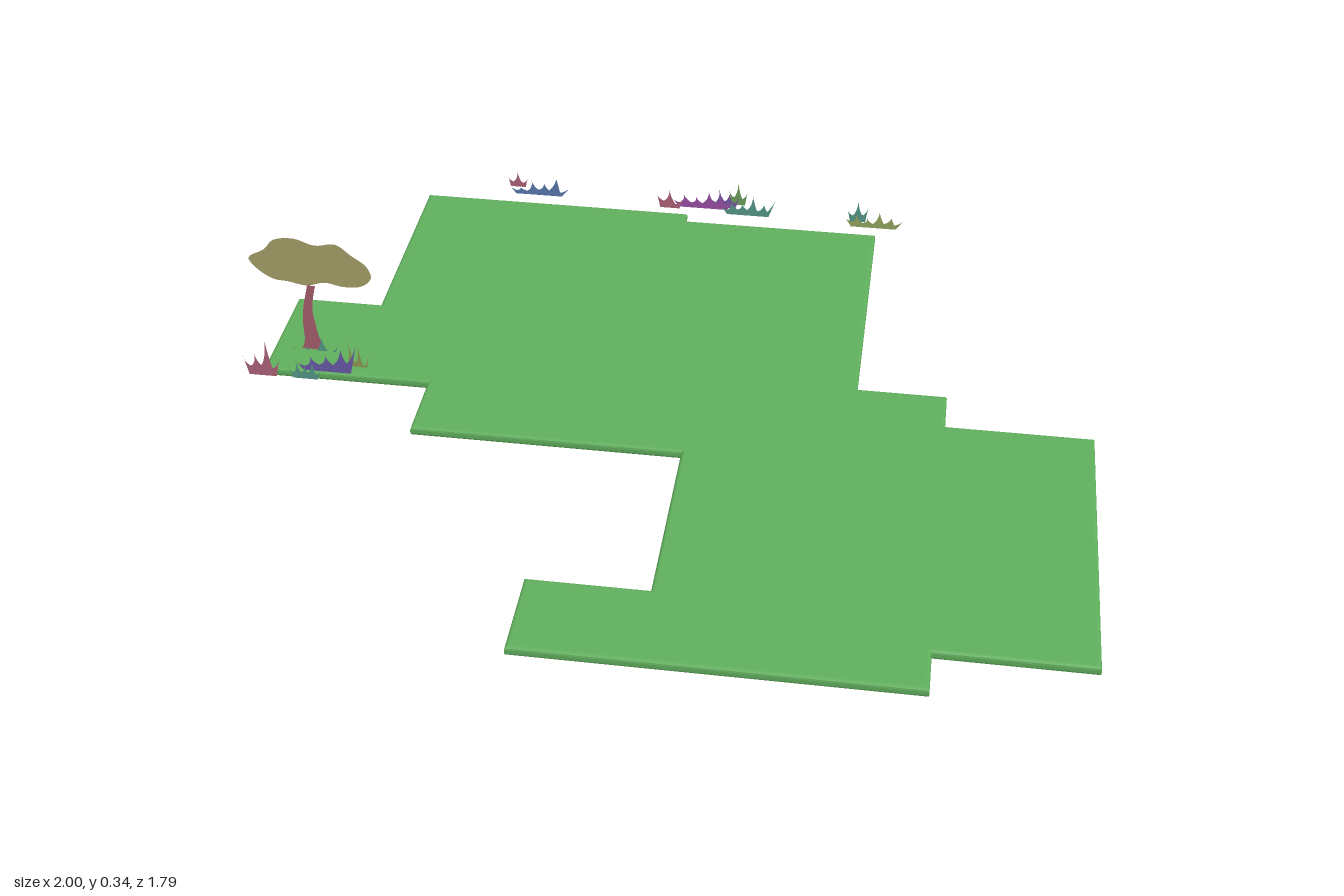
import * as THREE from 'three';

const material = (color, side = THREE.FrontSide) => new THREE.MeshStandardMaterial({ color, side });

// Flat upright cutout standing at depth z
function cutout(name, shape, z, color) {
  const mesh = new THREE.Mesh(new THREE.ShapeGeometry(shape, 10), material(color, THREE.DoubleSide));
  mesh.name = name;
  mesh.position.z = z;
  return mesh;
}

// Tuft of pointed blades: heights are fractions of the tallest blade
function tuftShape(x0, x1, base, top, heights) {
  const w = x1 - x0, h = top - base, n = heights.length;
  const s = new THREE.Shape();
  s.moveTo(x0 + w * 0.14, base);
  heights.forEach((f, i) => {
    const t = n > 1 ? i / (n - 1) : 0.5;
    const tipX = x0 + w * t, tipY = base + h * f;
    s.quadraticCurveTo(x0 + w * (0.08 + 0.84 * t), base + h * f * 0.5, tipX, tipY);
    if (i < n - 1) {
      const u = (i + 0.5) / (n - 1);
      const notch = base + h * 0.45 * Math.min(f, heights[i + 1]);
      s.quadraticCurveTo(tipX + w * 0.03, base + h * f * 0.6, x0 + w * (0.06 + 0.88 * u), notch);
    }
  });
  s.lineTo(x1 - w * 0.12, base);
  s.closePath();
  return s;
}

export function createModel() {
  const model = new THREE.Group();
  model.name = 'meadow';

  // Stepped grass platform with softly rounded rim, outline as x, z
  const outline = [
    [-0.75, -0.8], [-0.05, -0.8], [-0.05, -0.765], [0.45, -0.765], [0.45, -0.085],
    [0.66, -0.085], [0.66, 0.03], [1, 0.03], [1, 0.785], [0.66, 0.785],
    [0.66, 0.895], [-0.2, 0.895], [-0.2, 0.68], [0.07, 0.68], [0.07, 0.21],
    [-0.56, 0.21], [-0.56, 0.03], [-0.96, 0.03], [-0.96, -0.27], [-0.75, -0.27],
  ];
  const bevel = 0.008;
  const ground = new THREE.ExtrudeGeometry(
    new THREE.Shape(outline.map(([x, z]) => new THREE.Vector2(x, -z))),
    { depth: 0.008, bevelEnabled: true, bevelThickness: bevel, bevelSize: bevel, bevelOffset: -bevel, bevelSegments: 3 },
  );
  ground.rotateX(-Math.PI / 2);
  ground.translate(0, 0.006 + bevel, 0);
  const platform = new THREE.Mesh(ground, material(0x5fae5c));
  platform.name = 'grassPlatform';
  model.add(platform);

  // Tree: leaning trunk with flared roots and a cloud-shaped crown
  const tree = new THREE.Group();
  tree.name = 'tree';
  const trunk = new THREE.Shape();
  trunk.moveTo(-0.915, 0.005);
  trunk.bezierCurveTo(-0.87, 0.04, -0.885, 0.07, -0.882, 0.11);
  trunk.bezierCurveTo(-0.88, 0.15, -0.87, 0.18, -0.862, 0.215);
  trunk.lineTo(-0.842, 0.215);
  trunk.bezierCurveTo(-0.855, 0.17, -0.858, 0.14, -0.852, 0.11);
  trunk.bezierCurveTo(-0.848, 0.07, -0.845, 0.04, -0.81, 0.005);
  trunk.lineTo(-0.86, 0.016);
  trunk.closePath();
  const crown = [
    [-0.985, 0.25], [-1, 0.277], [-0.96, 0.304], [-0.935, 0.332], [-0.885, 0.34],
    [-0.835, 0.325], [-0.785, 0.332], [-0.75, 0.305], [-0.715, 0.277], [-0.706, 0.245],
    [-0.73, 0.22], [-0.775, 0.214], [-0.82, 0.222], [-0.865, 0.21], [-0.91, 0.218], [-0.945, 0.222],
  ].map(([x, y]) => new THREE.Vector3(x, y, 0));
  const crownCurve = new THREE.CatmullRomCurve3(crown, true);
  const crownShape = new THREE.Shape(
    crownCurve.getPoints(80).slice(0, -1).map((p) => new THREE.Vector2(p.x, p.y)),
  );
  tree.add(
    cutout('trunk', trunk, -0.06, 0xa8606f),
    cutout('crown', crownShape, -0.067, 0xa8a06a),
  );
  model.add(tree);

  // Grass tufts: name, x from, x to, base, top, z, colour, blade heights
  const tufts = [
    ['pinkTuft', -1, -0.91, 0.028, 0.13, 0.058, 0xb0637a, [0.55, 0.65, 1, 0.5]],
    ['tealTuft', -0.89, -0.81, 0.03, 0.085, 0.06, 0x569a8a, [0.6, 1, 0.7, 0.9, 0.5]],
    ['violetTuft', -0.885, -0.73, 0.028, 0.112, 0.025, 0x6a5aa8, [0.35, 0.55, 0.6, 0.8, 1]],
    ['oliveTuft', -0.78, -0.71, 0.005, 0.11, -0.003, 0x8f9a55, [0.5, 1, 0.8, 0.6]],
    ['rootTuft', -0.92, -0.8, 0.005, 0.07, -0.055, 0x569a8a, [0.7, 0.6, 1, 0.7]],
    ['backPinkTuft', -0.555, -0.5, 0.012, 0.06, -0.9, 0xb0637a, [0.7, 1, 0.6]],
    ['backBlueTuft', -0.55, -0.38, 0.012, 0.065, -0.865, 0x5a7ab0, [0.6, 0.45, 0.8, 0.7, 1, 0.5]],
    ['backRoseTuft', -0.14, -0.07, 0.012, 0.07, -0.85, 0xb0637a, [0.8, 1, 0.5]],
    ['backPurpleTuft', -0.105, 0.07, 0.012, 0.062, -0.86, 0x9a50a5, [0.6, 0.9, 0.7, 1, 0.8, 0.65]],
    ['backMauveTuft', 0, 0.08, 0.012, 0.068, -0.872, 0x7a5aa8, [0.6, 1, 0.8, 0.6]],
    ['backGreenTuft', 0.05, 0.1, 0.012, 0.085, -0.89, 0x6fa060, [0.7, 1, 0.6]],
    ['backTealTuft', 0.03, 0.18, 0.012, 0.07, -0.84, 0x569a8a, [0.5, 0.8, 0.65, 1, 0.6, 0.9]],
    ['backMintTuft', 0.37, 0.425, 0.012, 0.08, -0.85, 0x569a8a, [0.6, 1, 0.7]],
    ['backLimeTuft', 0.36, 0.52, 0.012, 0.06, -0.825, 0x93a860, [0.7, 0.9, 0.6, 1, 0.7, 0.6]],
  ];
  for (const [name, x0, x1, base, top, z, color, blades] of tufts) {
    model.add(cutout(name, tuftShape(x0, x1, base, top, blades), z, color));
  }
  return model;
}
